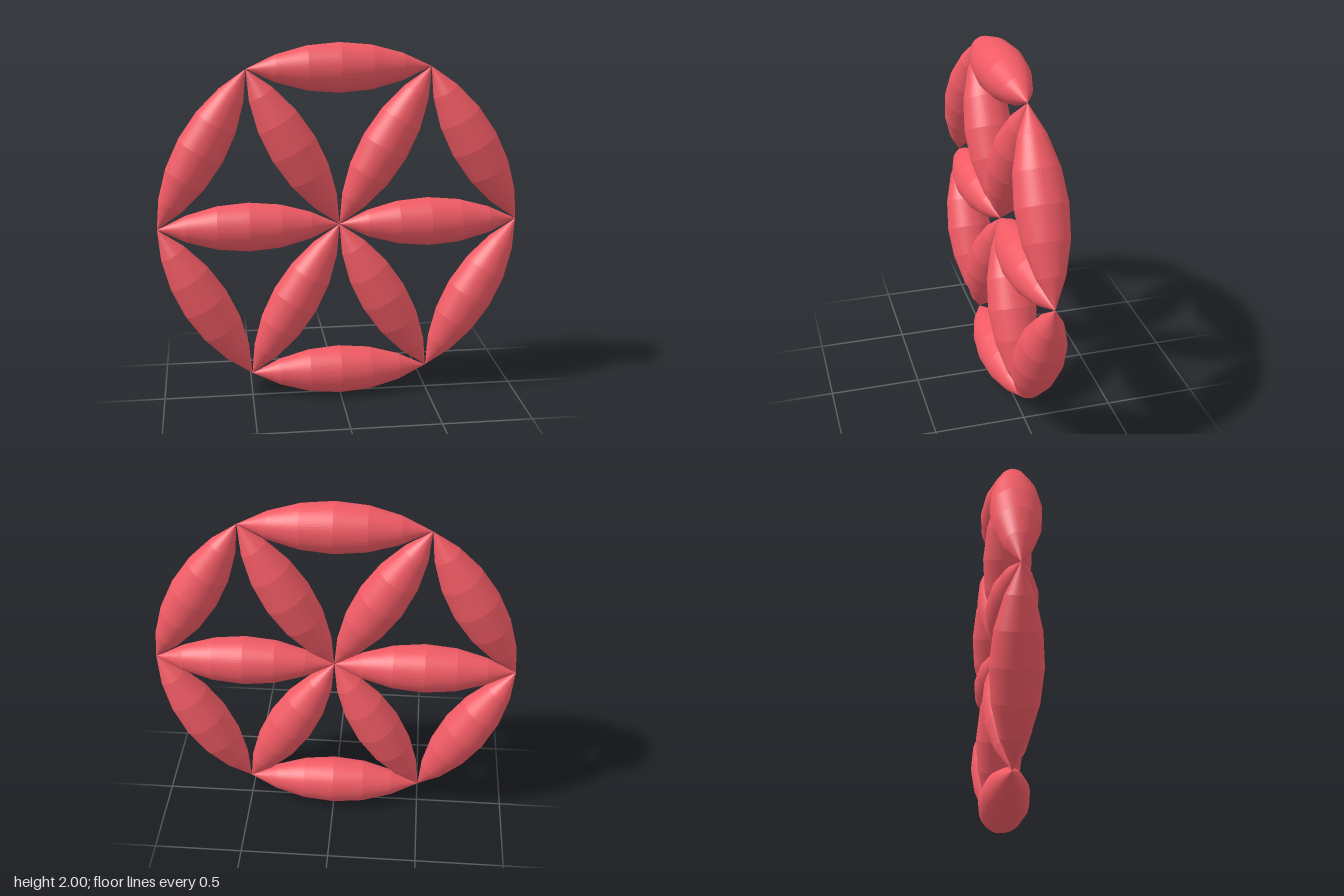
import * as THREE from 'three';

export function createModel() {
  const group = new THREE.Group();
  group.name = 'petalRosette';
  const material = new THREE.MeshStandardMaterial({ color: 0xf05a64, flatShading: true });

  // Petal: a 60 degree arc of radius 1 turned around its own chord
  const profile = [];
  const steps = 6;
  for (let i = 0; i <= steps; i++) {
    const a = (i / steps - 0.5) * Math.PI / 3;
    const r = i === 0 || i === steps ? 0 : Math.cos(a) - Math.cos(Math.PI / 6);
    profile.push(new THREE.Vector2(r, Math.sin(a)));
  }
  const petal = new THREE.LatheGeometry(profile, 60);

  function addPetal(name, radius, angle, turn) {
    const mesh = new THREE.Mesh(petal, material);
    mesh.name = name;
    mesh.position.set(radius * Math.cos(angle), 1 + radius * Math.sin(angle), 0);
    mesh.rotation.z = turn;
    group.add(mesh);
  }

  for (let k = 0; k < 6; k++) {
    const angle = k * Math.PI / 3;
    // Inner petals radiate from the centre
    addPetal(`innerPetal${k + 1}`, 0.5, angle, angle - Math.PI / 2);
    // Outer petals join neighbouring tips into a ring
    const mid = angle + Math.PI / 6;
    addPetal(`outerPetal${k + 1}`, Math.cos(Math.PI / 6), mid, mid);
  }
  return group;
}
